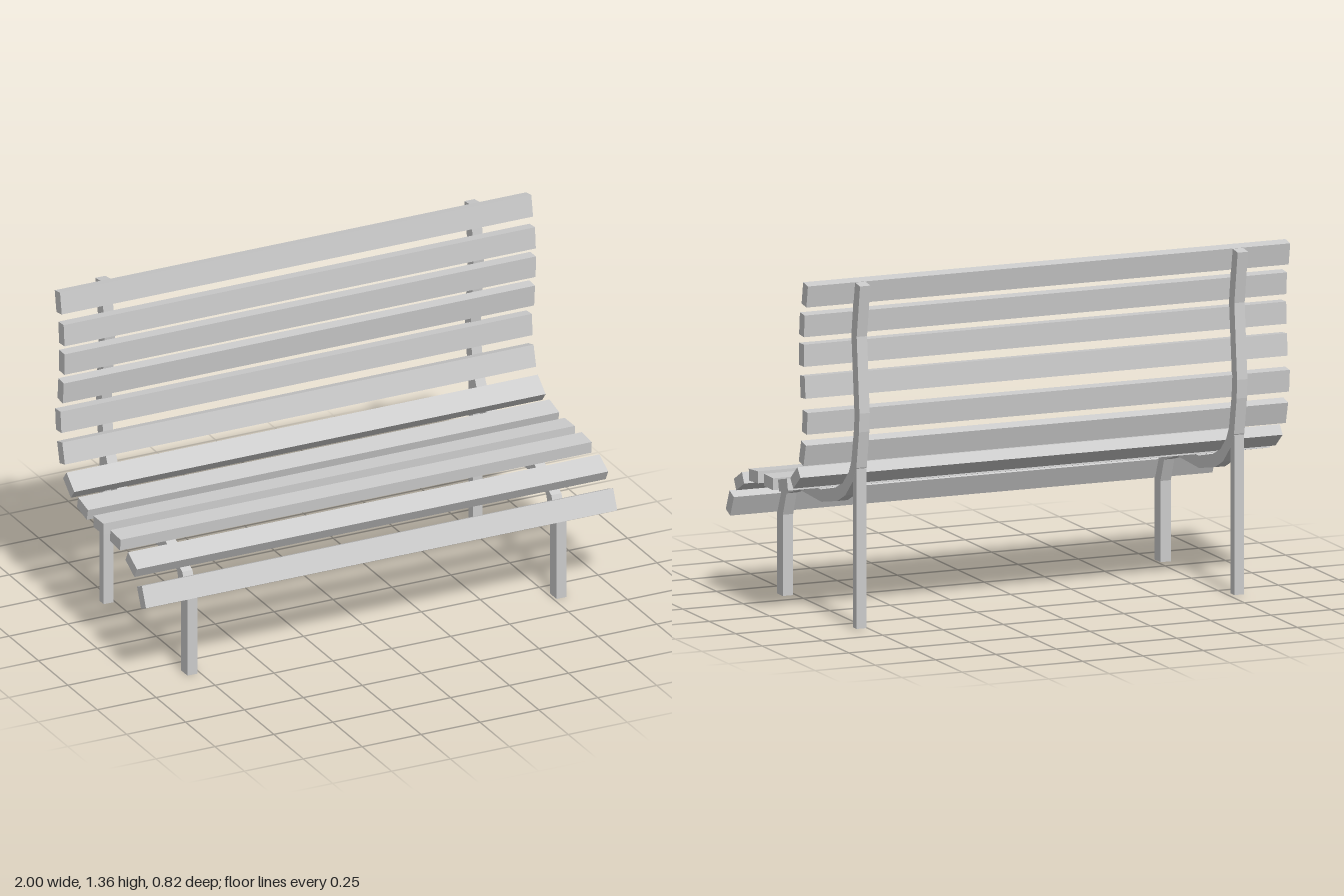
import * as THREE from 'three';

const material = new THREE.MeshStandardMaterial({ color: 0xcccccc, flatShading: true });

// Side profile of the bent frame bar as [z, y]: sitting side, then underside
const innerEdge = [
  [0.375, 0], [0.375, 0.32], [0.33, 0.415], [0.177, 0.49], [-0.038, 0.482],
  [-0.175, 0.515], [-0.245, 0.546], [-0.303, 0.6], [-0.328, 0.647],
  [-0.352, 0.772], [-0.356, 0.845], [-0.328, 1.138], [-0.358, 1.347],
];
const outerEdge = [
  [0.32, 0], [0.32, 0.315], [0.285, 0.405], [0.16, 0.443], [-0.045, 0.435],
  [-0.195, 0.467], [-0.27, 0.503], [-0.339, 0.568], [-0.375, 0.629],
  [-0.4, 0.772], [-0.404, 0.845], [-0.378, 1.138], [-0.41, 1.34],
];

// Slats from front edge to top of back: [z, y, tilt in degrees]
const slats = [
  [0.375, 0.367, 66], [0.288, 0.468, 28], [0.152, 0.514, 4], [0.009, 0.518, -1],
  [-0.127, 0.532, 13], [-0.244, 0.582, 39], [-0.31, 0.69, 75], [-0.333, 0.815, 85],
  [-0.313, 0.948, 95], [-0.303, 1.071, 91], [-0.306, 1.188, 85], [-0.333, 1.309, 80],
];

const FRAME_X = 0.783;
const FRAME_WIDTH = 0.043;

function addMesh(parent, name, geometry) {
  const mesh = new THREE.Mesh(geometry, material);
  mesh.name = name;
  parent.add(mesh);
  return mesh;
}

function frameGeometry() {
  const outline = [...innerEdge, ...outerEdge.slice().reverse()];
  const shape = new THREE.Shape(outline.map(([z, y]) => new THREE.Vector2(-z, y)));
  const geometry = new THREE.ExtrudeGeometry(shape, { depth: FRAME_WIDTH, bevelEnabled: false });
  geometry.translate(0, 0, -FRAME_WIDTH / 2);
  return geometry.rotateY(Math.PI / 2);
}

export function createModel() {
  const bench = new THREE.Group();
  bench.name = 'bench';

  // Two side frames: bent bar (front leg, seat and back support) plus rear leg
  const barGeometry = frameGeometry();
  const rearLegGeometry = new THREE.BoxGeometry(FRAME_WIDTH - 0.002, 0.62, 0.036);
  for (const [side, sign] of [['left', 1], ['right', -1]]) {
    const frame = new THREE.Group();
    frame.name = side + 'Frame';
    frame.position.x = sign * FRAME_X;
    addMesh(frame, side + 'BentBar', barGeometry);
    addMesh(frame, side + 'RearLeg', rearLegGeometry).position.set(0, 0.315, -0.358);
    bench.add(frame);
  }

  // Slats following the curve of the frame
  const slatGeometry = new THREE.BoxGeometry(2, 0.046, 0.086);
  slats.forEach(([z, y, tilt], i) => {
    const name = i < 6 ? 'seatSlat' + (i + 1) : 'backSlat' + (i - 5);
    const slat = addMesh(bench, name, slatGeometry);
    slat.position.set(0, y, z);
    slat.rotation.x = THREE.MathUtils.degToRad(tilt);
  });

  return bench;
}
